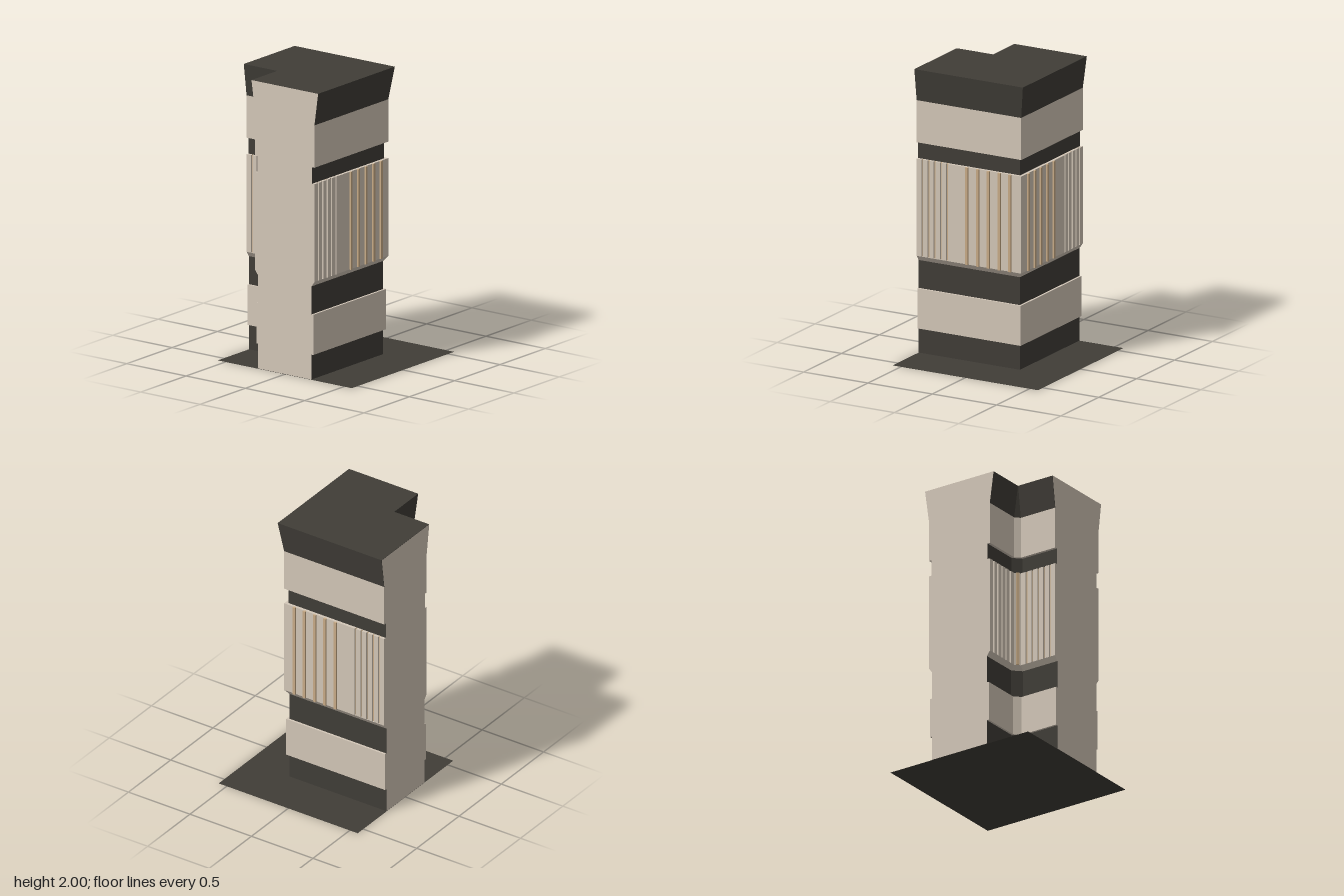
import * as THREE from 'three';

const E = 0.563;       // where the wall arms are cut off
const CORNER = 0.282;  // start of the inner corner chamfer
const GROOVES = [0.52, 0.472, 0.424, 0.376, 0.328];
const RIBS = [0.17, 0.086, 0.003, -0.081, -0.165];
const PANEL = 0.25, PANEL_Y = 0.685, PANEL_TOP = 1.365, DEPTH = 0.014;

const material = (color) => new THREE.MeshStandardMaterial({ color, flatShading: true });

// Courses from the ground up: name, y0, y1, half thickness at y0 and y1, dark?
const COURSES = [
  ['baseCourse', 0.002, 0.175, 0.225, 0.225, true],
  ['lowerBand', 0.175, 0.455, 0.24, 0.24, false],
  ['lowerRecess', 0.455, 0.65, 0.225, 0.225, true],
  ['slopedSill', 0.65, PANEL_Y, 0.225, PANEL, false],
  ['groovedPanel', PANEL_Y, PANEL_TOP, PANEL, PANEL, false],
  ['upperRecess', PANEL_TOP, 1.48, 0.23, 0.23, true],
  ['upperBand', 1.48, 1.775, PANEL, PANEL, false],
  ['flaredCrown', 1.775, 2, PANEL, 0.281, true],
];

// L-shaped plan as [x, z]; the second arm mirrors the first across the diagonal
function plan(h, grooved) {
  const groove = (s, side, dir) => [[-0.007, 0], [-0.004, DEPTH], [0.004, DEPTH], [0.007, 0]]
    .map(([u, d]) => [-s + dir * u, side * (h - d)]);
  const list = grooved ? GROOVES : [];
  const half = [[-CORNER, h]];
  [...list].reverse().forEach((s) => half.push(...groove(s, 1, -1)));
  half.push([-E, h], [-E, -h]);
  list.forEach((s) => half.push(...groove(s, -1, 1)));
  const mirrored = half.map(([x, z]) => [-z, -x]).reverse();
  return [...half, [h, -h], ...mirrored];
}

function courseGeometry(y0, y1, h0, h1, grooved) {
  const shape = new THREE.Shape(plan(h0, grooved).map(([x, z]) => new THREE.Vector2(x, -z)));
  const geo = new THREE.ExtrudeGeometry(shape, { depth: y1 - y0, bevelEnabled: false });
  geo.rotateX(-Math.PI / 2).translate(0, y0, 0);
  // Slope the sides by moving the upper wall faces to the new thickness
  const p = geo.attributes.position;
  const shift = (v) => (Math.abs(Math.abs(v) - h0) < 1e-4 ? Math.sign(v) * h1 : v);
  for (let i = 0; i < p.count; i++) {
    if (p.getY(i) > (y0 + y1) / 2) p.setXYZ(i, shift(p.getX(i)), p.getY(i), shift(p.getZ(i)));
  }
  geo.computeVertexNormals();
  return geo;
}

export function createModel() {
  const model = new THREE.Group();
  model.name = 'cornerWall';
  const light = material(0xd3c7b8);
  const dark = material(0x403d37);
  const tan = material(0xc9ac87);

  const add = (name, geo, mat, parent = model) => {
    const mesh = new THREE.Mesh(geo, mat);
    mesh.name = name;
    parent.add(mesh);
    return mesh;
  };

  // Ground plate
  const plateMat = material(0x403d37);
  plateMat.side = THREE.DoubleSide;
  add('groundPlate', new THREE.PlaneGeometry(1.13, 1.13).rotateX(-Math.PI / 2), plateMat);

  // Stacked wall courses
  for (const [name, y0, y1, h0, h1, isDark] of COURSES) {
    add(name, courseGeometry(y0, y1, h0, h1, name === 'groovedPanel'), isDark ? dark : light);
  }

  // Light end faces that follow the wall profile, one per arm
  const side = COURSES.flatMap(([, y0, y1, h0, h1]) => [[h0, y0], [h1, y1]]);
  const profile = [...side, ...[...side].reverse().map(([h, y]) => [-h, y])];
  const endShape = new THREE.Shape(profile.map(([x, y]) => new THREE.Vector2(x, y)));
  const endGeo = new THREE.ShapeGeometry(endShape).translate(0, 0, E + 0.002);
  add('frontEndFace', endGeo, light);
  add('sideEndFace', endGeo, light).rotation.y = -Math.PI / 2;

  // Tan strips: raised ribs on the outer faces, inlays in every groove
  const height = PANEL_TOP - PANEL_Y;
  const midY = (PANEL_TOP + PANEL_Y) / 2;
  const strips = new THREE.Group();
  strips.name = 'panelStrips';
  model.add(strips);
  const strip = (name, along, off, width, depth) => {
    // Same strip on both arms, mirrored across the diagonal
    add(name, new THREE.BoxGeometry(width, height, depth), tan, strips).position.set(-along, midY, off);
    add(name, new THREE.BoxGeometry(depth, height, width), tan, strips).position.set(-off, midY, along);
  };
  RIBS.forEach((s) => strip('rib', s, -PANEL - 0.004, 0.02, 0.016));
  GROOVES.forEach((s) => [1, -1].forEach((k) =>
    strip('grooveInlay', s, k * (PANEL - DEPTH), 0.008, 0.01)));

  // Rib on the inner corner chamfer
  const cornerRib = add('cornerRib', new THREE.BoxGeometry(0.02, height, 0.016), tan, strips);
  cornerRib.position.set(-0.268, midY, 0.268);
  cornerRib.rotation.y = -Math.PI / 4;

  return model;
}
